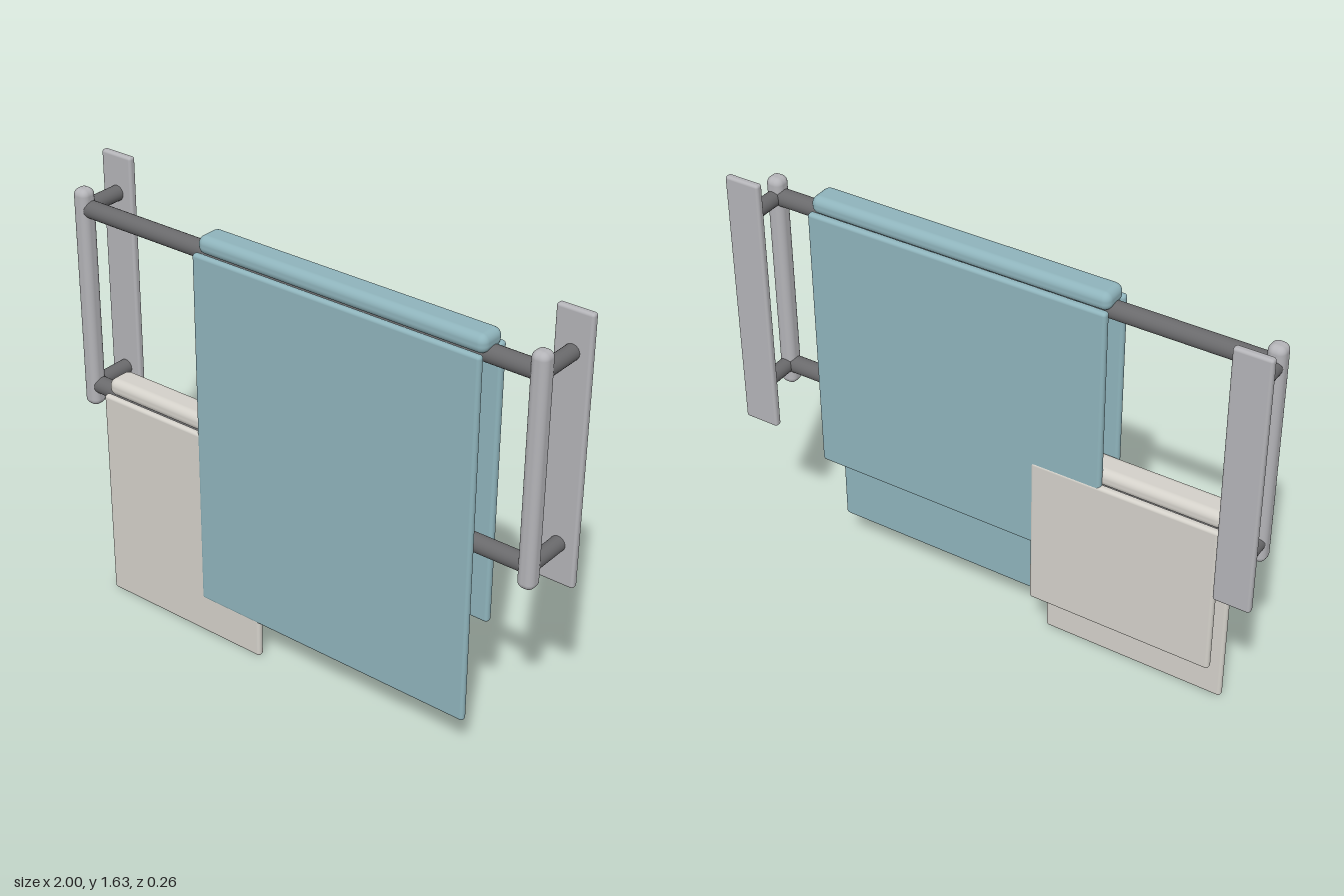
import * as THREE from 'three';
import { RoundedBoxGeometry } from 'three/addons/geometries/RoundedBoxGeometry.js';

const paint = (color) => new THREE.MeshStandardMaterial({ color });
const metal = paint(0xb4b4b8);
const darkMetal = paint(0x6a6a6c);
const teal = paint(0x8fb4bc);
const cream = paint(0xd4d1ca);

// Rounded box given by its [min, max] range along each axis
function slab(name, [x0, x1], [y0, y1], [z0, z1], radius, material) {
  const geometry = new RoundedBoxGeometry(x1 - x0, y1 - y0, z1 - z0, 4, radius);
  const mesh = new THREE.Mesh(geometry, material);
  mesh.position.set((x0 + x1) / 2, (y0 + y1) / 2, (z0 + z1) / 2);
  mesh.name = name;
  return mesh;
}

function rod(name, radius, length, material) {
  const mesh = new THREE.Mesh(new THREE.CylinderGeometry(radius, radius, length, 24), material);
  mesh.name = name;
  return mesh;
}

// Towel folded over a bar: front flap, back flap and the rounded fold on top
function towel(name, x, foldY, frontBottom, backBottom, shift, material) {
  const group = new THREE.Group();
  group.name = name;
  const flapTop = foldY - 0.055;
  group.add(
    slab('frontFlap', x, [frontBottom, flapTop], [0.105 + shift, 0.132 + shift], 0.012, material),
    slab('backFlap', x, [backBottom, flapTop], [-0.015 + shift, 0.014 + shift], 0.012, material),
    slab('topFold', x, [foldY - 0.066, foldY], [0.004, 0.11], 0.028, material)
  );
  return group;
}

export function createModel() {
  const model = new THREE.Group();
  model.name = 'towelRack';
  const barHeights = [0.8, 1.485];

  // Wall brackets, mirrored on both sides
  for (const [side, label] of [[1, 'left'], [-1, 'right']]) {
    const bracket = new THREE.Group();
    bracket.name = label + 'Bracket';
    const c = side * 0.933;
    bracket.add(
      slab('wallPlate', [c - 0.067, c + 0.067], [0.65, 1.63], [-0.13, -0.102], 0.01, metal),
      slab('upright', [c - 0.031, c + 0.031], [0.72, 1.56], [0.027, 0.091], 0.025, metal)
    );
    for (const y of barHeights) {
      const post = rod('standoffPost', 0.028, 0.16, darkMetal);
      post.rotation.x = Math.PI / 2;
      post.position.set(c, y, -0.035);
      bracket.add(post);
    }
    model.add(bracket);
  }

  // Horizontal rails
  barHeights.forEach((y, i) => {
    const rail = rod(i ? 'upperRail' : 'lowerRail', 0.032, 1.85, darkMetal);
    rail.rotation.z = Math.PI / 2;
    rail.position.set(0, y, 0.055);
    model.add(rail);
  });

  // Large towel above, small towel below; a hair of offset keeps the overlap clean
  model.add(
    towel('bathTowel', [-0.38, 0.76], 1.56, 0.143, 0.475, 0.001, teal),
    towel('handTowel', [-0.82, -0.115], 0.878, 0, 0.225, -0.001, cream)
  );
  return model;
}
